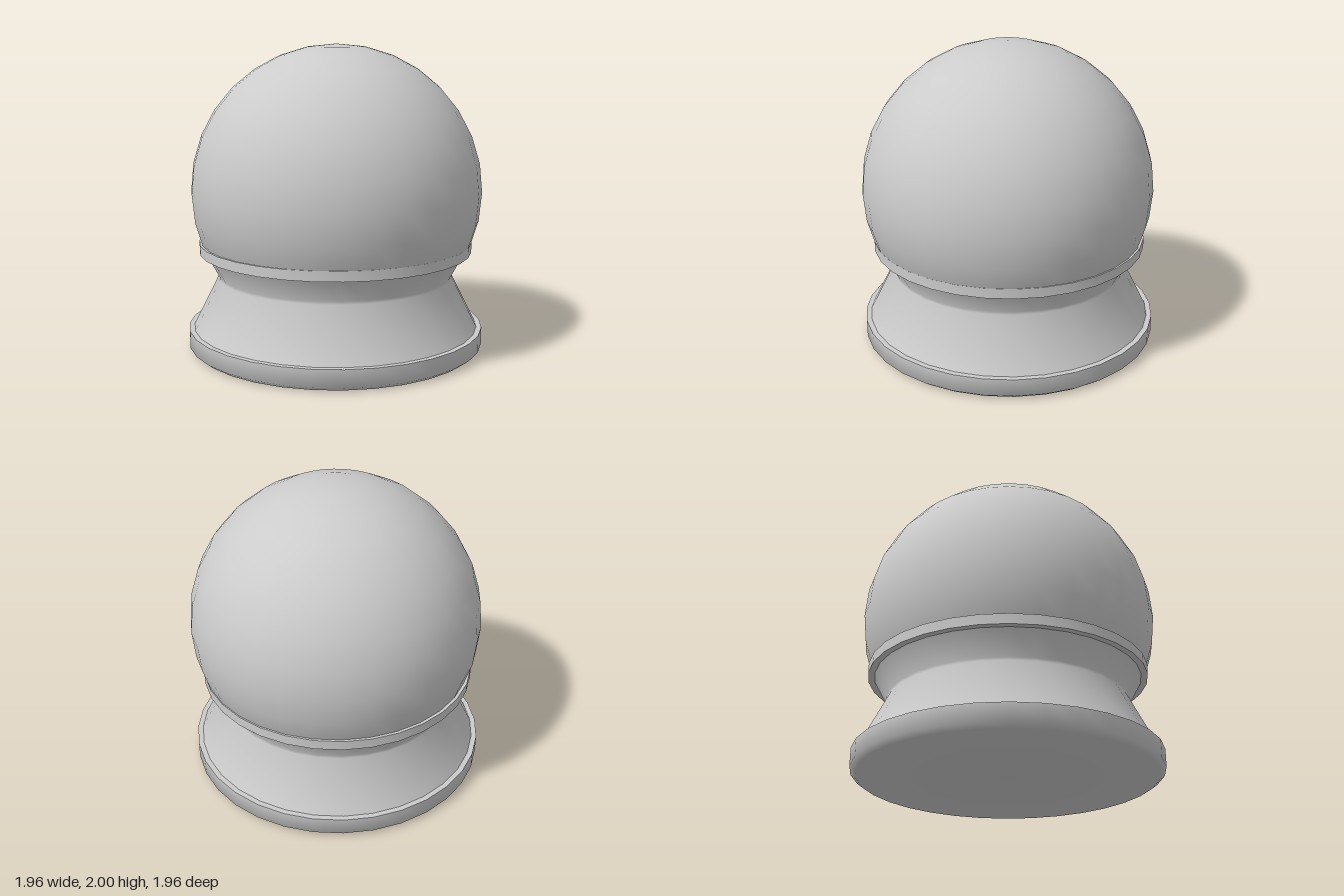
import * as THREE from 'three';
import { toCreasedNormals } from 'three/addons/utils/BufferGeometryUtils.js';

const SIDES = 32;

export function createModel() {
  const group = new THREE.Group();
  const material = new THREE.MeshStandardMaterial({ color: 0xcccccc });

  const add = (name, geometry) => {
    const mesh = new THREE.Mesh(geometry, material);
    mesh.name = name;
    group.add(mesh);
    return mesh;
  };

  // Turned parts: profile of [radius, height], listed from bottom to top
  const turned = (name, profile) => {
    const points = profile.map(([r, y]) => new THREE.Vector2(r, y));
    return add(name, toCreasedNormals(new THREE.LatheGeometry(points, SIDES), 0.95));
  };

  // Plinth with a bevelled lower rim
  turned('plinth', [[0, 0], [0.945, 0], [0.98, 0.027], [0.98, 0.14], [0, 0.14]]);

  // Waisted pedestal
  turned('pedestal', [[0.945, 0.14], [0.778, 0.473], [0.778, 0.493], [0.86, 0.645]]);

  // Collar holding the globe
  turned('collar', [[0, 0.645], [0.902, 0.645], [0.902, 0.71], [0, 0.71]]);

  // Globe, its open lower end hidden inside the collar
  const globe = add('globe', new THREE.SphereGeometry(0.955, SIDES, 10, 0, Math.PI * 2, 0, Math.PI * 0.625));
  globe.position.set(0, 1.045, 0.01);

  return group;
}
